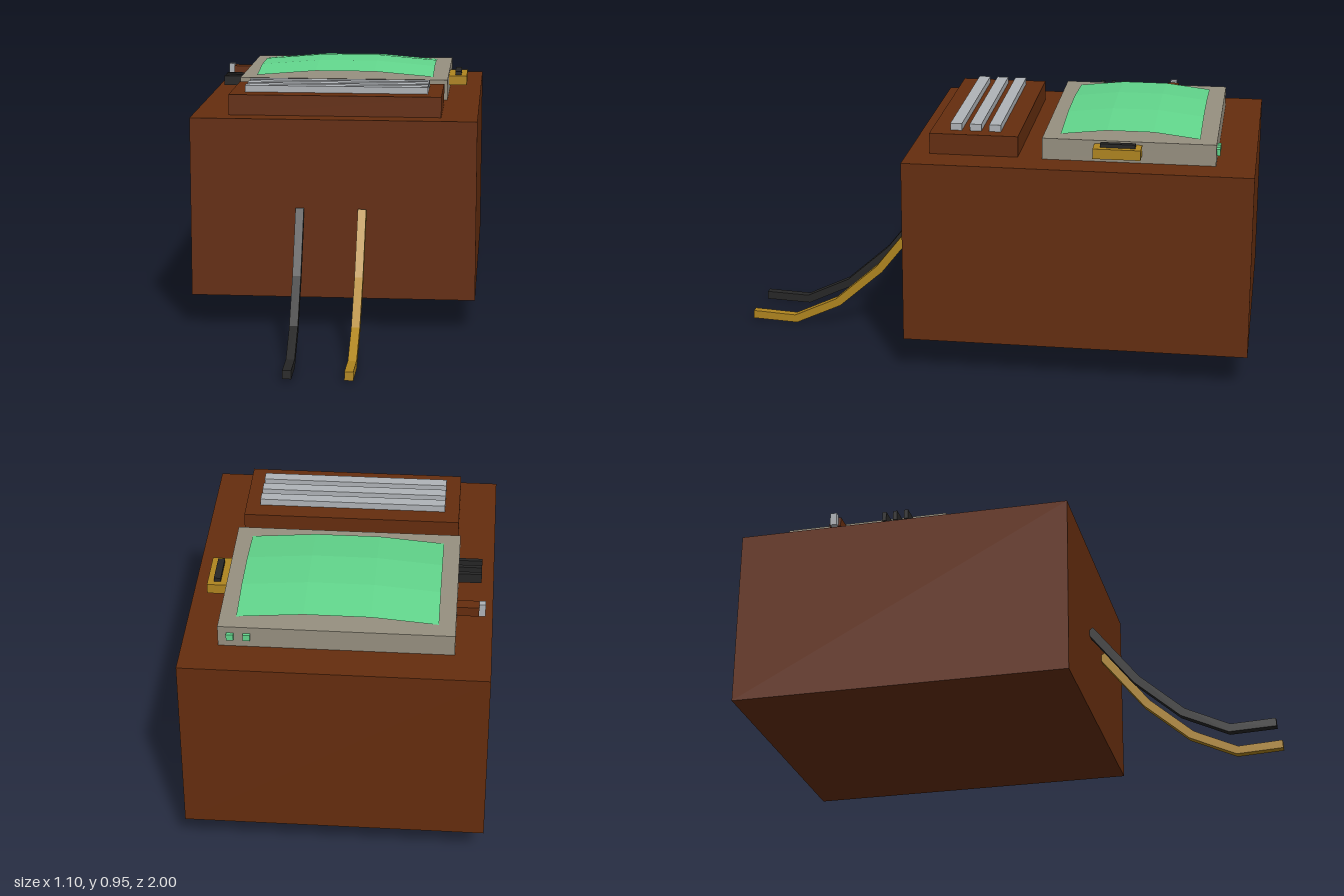
import * as THREE from 'three';

const material = (name, color, extra = {}) => {
  const m = new THREE.MeshStandardMaterial({ color, ...extra });
  m.name = name;
  return m;
};

// Square cable swept along a bent path of [x, y, z] points
function cableGeometry(points, half) {
  const pos = [], index = [];
  points.forEach(([x, y, z], i) => {
    const a = points[Math.max(i - 1, 0)], b = points[Math.min(i + 1, points.length - 1)];
    const dy = b[1] - a[1], dz = b[2] - a[2], len = Math.hypot(dy, dz);
    const ny = dz / len * half, nz = -dy / len * half;
    for (const [sx, sn] of [[-1, -1], [1, -1], [1, 1], [-1, 1]]) {
      pos.push(x + sx * half, y + sn * ny, z + sn * nz);
    }
  });
  for (let i = 0; i < points.length - 1; i++) {
    for (let k = 0; k < 4; k++) {
      const a = i * 4 + k, b = i * 4 + (k + 1) % 4;
      index.push(a, b, b + 4, a, b + 4, a + 4);
    }
  }
  const e = (points.length - 1) * 4;
  index.push(0, 2, 1, 0, 3, 2, e, e + 1, e + 2, e, e + 2, e + 3);
  const g = new THREE.BufferGeometry();
  g.setAttribute('position', new THREE.Float32BufferAttribute(pos, 3));
  g.setIndex(index);
  const flat = g.toNonIndexed();
  flat.computeVertexNormals();
  return flat;
}

export function createModel() {
  const model = new THREE.Group();
  model.name = 'console';

  const brown = material('brown casing', 0x652d0e);
  const stone = material('stone grey', 0x979080);
  const silver = material('silver', 0xb0b4b8);
  const black = material('black', 0x262626);
  const gold = material('gold', 0xb0851f);
  const green = material('screen green', 0x62d68c, { side: THREE.DoubleSide });
  green.flatShading = true;

  const add = (name, geometry, mat) => {
    const mesh = new THREE.Mesh(geometry, mat);
    mesh.name = name;
    model.add(mesh);
    return mesh;
  };
  // Box given by its limits on each axis
  const box = (name, mat, [x0, x1], [y0, y1], [z0, z1]) => {
    const mesh = add(name, new THREE.BoxGeometry(x1 - x0, y1 - y0, z1 - z0), mat);
    mesh.position.set((x0 + x1) / 2, (y0 + y1) / 2, (z0 + z1) / 2);
  };

  // Main casing
  box('casing', brown, [-0.55, 0.55], [0.13, 0.828], [-1, 0.3]);

  // Raised panel with three slats
  box('slatPanel', brown, [-0.41, 0.41], [0.828, 0.907], [-0.118, 0.217]);
  for (let i = 0; i < 3; i++) {
    const z = -0.024 + i * 0.074;
    box('slat', silver, [-0.355, 0.355], [0.907, 0.933], [z - 0.022, z + 0.022]);
  }

  // Screen block
  box('screenFrame', stone, [-0.42, 0.42], [0.828, 0.909], [-0.855, -0.21]);

  // Domed screen, a thin sheet arched both ways
  const dome = new THREE.PlaneGeometry(0.72, 0.52, 3, 3).rotateX(-Math.PI / 2);
  const p = dome.attributes.position;
  for (let i = 0; i < p.count; i++) {
    const u = p.getX(i) / 0.36, v = p.getZ(i) / 0.26;
    p.setY(i, 0.0225 * (1 - u * u) + 0.0225 * (1 - v * v));
  }
  dome.computeVertexNormals();
  add('screen', dome, green).position.set(0, 0.911, -0.532);

  // Green buttons on the back of the screen block
  for (const x of [0.317, 0.376]) {
    box('rearButton', green, [x - 0.013, x + 0.013], [0.86, 0.884], [-0.868, -0.855]);
  }

  // Three black pins and a lever on the right side
  for (const z of [-0.436, -0.392, -0.348]) {
    box('sidePin', black, [-0.505, -0.42], [0.857, 0.895], [z - 0.008, z + 0.008]);
  }
  box('leverArm', brown, [-0.5, -0.42], [0.86, 0.897], [-0.66, -0.615]);
  box('leverCap', silver, [-0.523, -0.5], [0.855, 0.905], [-0.651, -0.625]);

  // Gold switch box on the left side
  box('switchBox', gold, [0.42, 0.493], [0.859, 0.897], [-0.582, -0.405]);
  box('switchKey', black, [0.445, 0.47], [0.897, 0.911], [-0.56, -0.43]);

  // Two cables trailing from the front
  const bends = [[0.475, 0.3], [0.25, 0.478], [0.1, 0.65], [0.02, 0.825], [0.03, 1]];
  const cable = (name, mat, x0, x1) => add(name, cableGeometry(
    bends.map(([y, z], i) => [x0 + (x1 - x0) * i / 4, y, z]), 0.016), mat);
  cable('blackCable', black, -0.126, -0.102);
  cable('goldCable', gold, 0.114, 0.119);

  return model;
}
